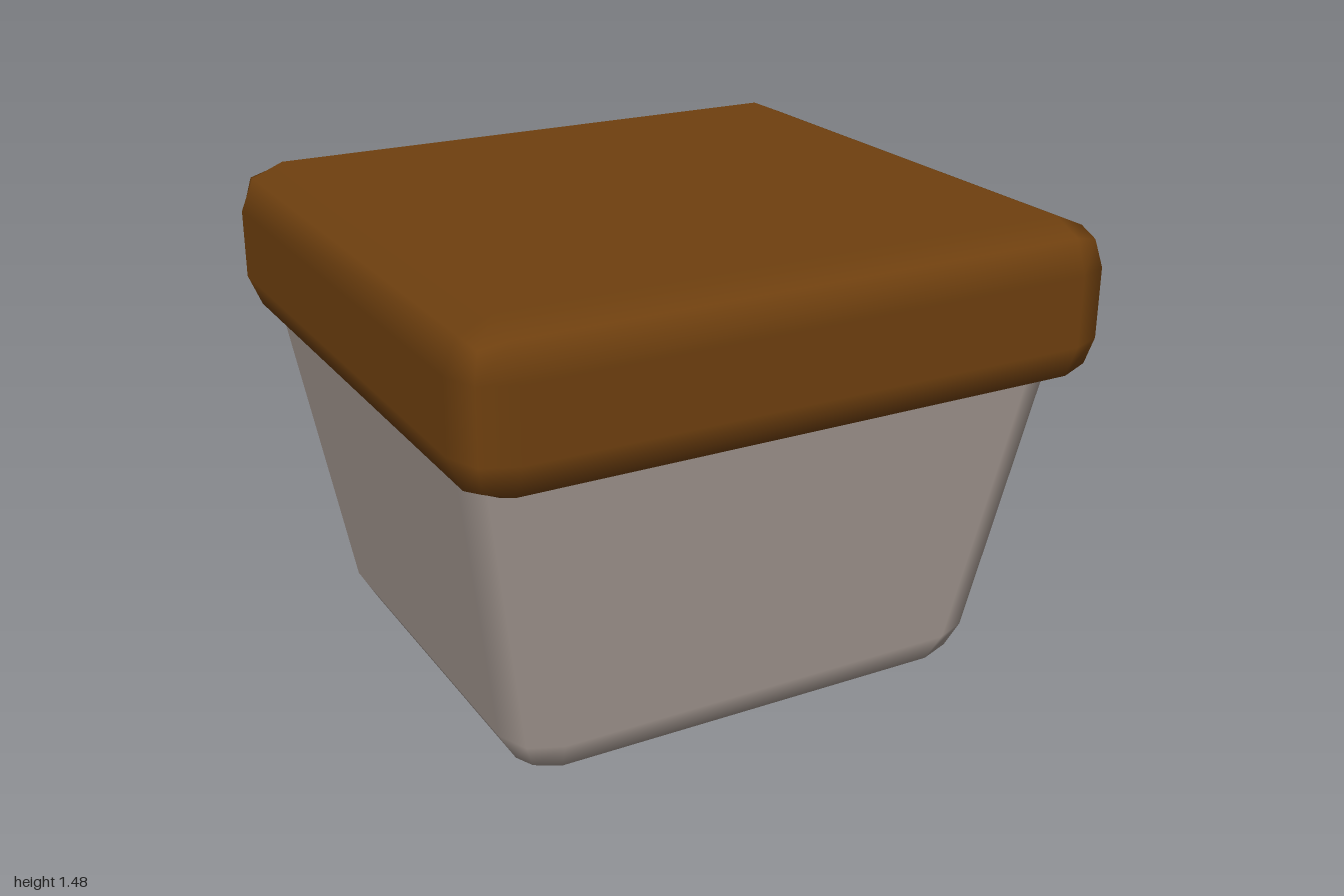
import * as THREE from 'three';
import { RoundedBoxGeometry } from 'three/addons/geometries/RoundedBoxGeometry.js';

const BEVEL = 0.14;

// Rounded box standing on y = 0 whose sides lean outward with height
function flaredBox(width, height, depth, slopeX, slopeZ) {
  const geometry = new RoundedBoxGeometry(width, height, depth, 1, BEVEL);
  geometry.translate(0, height / 2, 0);
  const p = geometry.attributes.position;
  const n = geometry.attributes.normal;
  const v = new THREE.Vector3();
  for (let i = 0; i < p.count; i++) {
    const y = p.getY(i);
    p.setX(i, p.getX(i) + Math.sign(p.getX(i)) * slopeX * y);
    p.setZ(i, p.getZ(i) + Math.sign(p.getZ(i)) * slopeZ * y);
    // tilt the smooth normals to follow the lean
    v.fromBufferAttribute(n, i);
    v.y -= slopeX * Math.abs(v.x) + slopeZ * Math.abs(v.z);
    v.normalize();
    n.setXYZ(i, v.x, v.y, v.z);
  }
  return geometry;
}

export function createModel() {
  const stone = new THREE.MeshStandardMaterial({ color: 0xa89c95 });
  stone.name = 'warm grey';
  const wood = new THREE.MeshStandardMaterial({ color: 0x6f400f });
  wood.name = 'brown';

  const model = new THREE.Group();
  model.name = 'lidded box';

  // Tapered body, its top hidden inside the lid
  const body = new THREE.Mesh(flaredBox(1.524, 1.25, 1.36, 0.165, 0.145), stone);
  body.name = 'body';
  model.add(body);

  // Thick overhanging lid
  const lid = new THREE.Mesh(new RoundedBoxGeometry(2, 0.49, 1.89, 1, BEVEL), wood);
  lid.name = 'lid';
  lid.position.y = 1.235;
  model.add(lid);

  return model;
}
